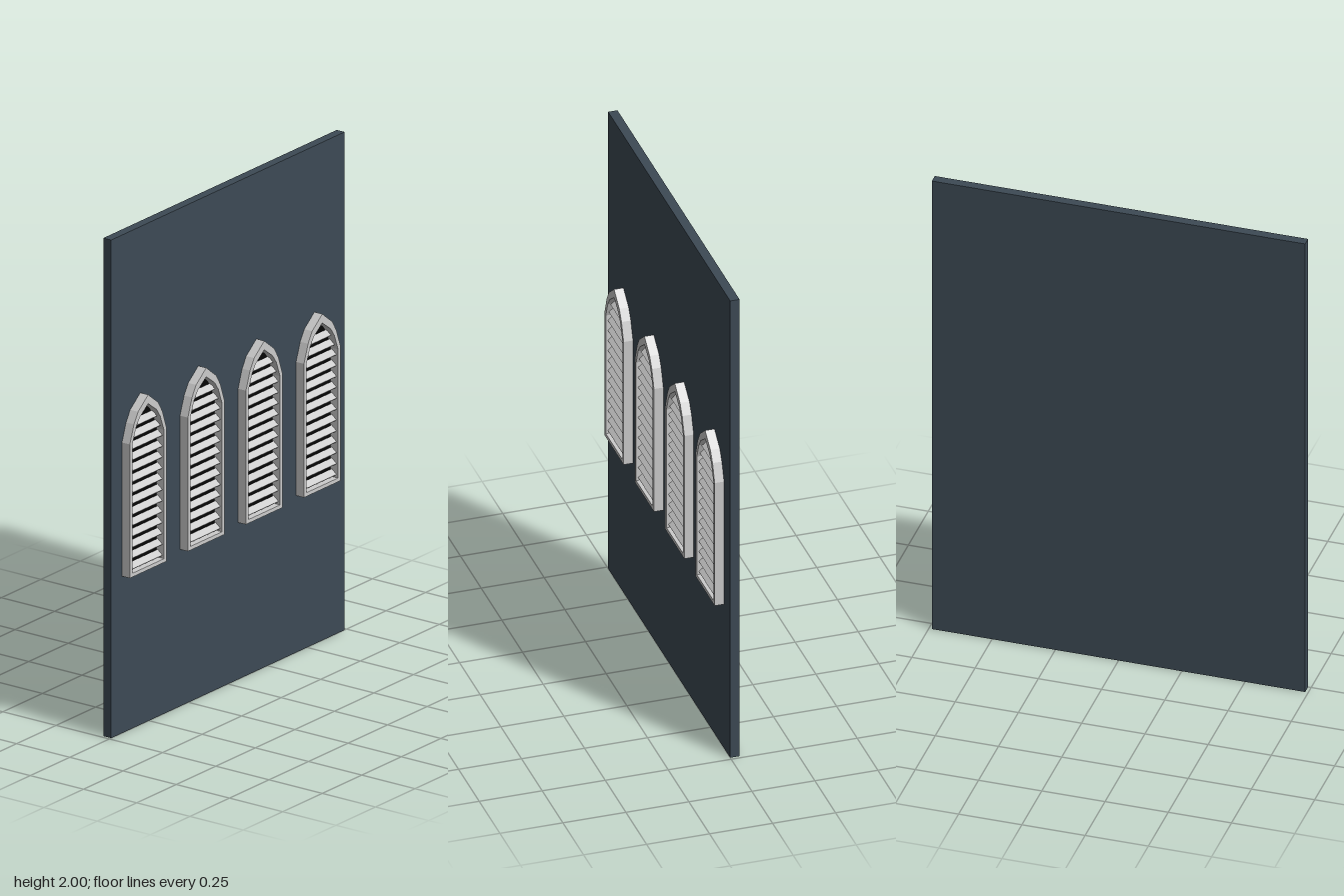
import * as THREE from 'three';

// Half profile of the pointed arch: [half width, height]
const OUTER = [[0.116, 0.63], [0.116, 1.167], [0.09, 1.24], [0.064, 1.283], [0, 1.333]];
const INNER = [[0.1, 0.645], [0.1, 1.162], [0.076, 1.225], [0.053, 1.258], [0, 1.297]];

function outline(half, Type) {
  const mirrored = half.slice(0, -1).reverse().map(([x, y]) => [-x, y]);
  return new Type([...half, ...mirrored].map(([x, y]) => new THREE.Vector2(x, y)));
}

// Half width of the opening at a given height
function openingAt(y) {
  for (let i = 1; i < INNER.length; i++) {
    const [x0, y0] = INNER[i - 1], [x1, y1] = INNER[i];
    if (y <= y1) return x0 + (x1 - x0) * (y - y0) / (y1 - y0);
  }
  return 0;
}

export function createModel() {
  const model = new THREE.Group();
  const wallMat = new THREE.MeshStandardMaterial({ color: 0x3d4a55 });
  const grey = new THREE.MeshStandardMaterial({ color: 0xcccccc });
  const dark = new THREE.MeshStandardMaterial({ color: 0x050505 });

  const add = (parent, name, geometry, material, x = 0, y = 0, z = 0) => {
    const mesh = new THREE.Mesh(geometry, material);
    mesh.name = name;
    mesh.position.set(x, y, z);
    parent.add(mesh);
    return mesh;
  };

  // Wall slab
  add(model, 'wall', new THREE.BoxGeometry(1.476, 2, 0.037), wallMat, 0, 1, -0.0185);

  // Frame ring and the dark pane behind the slats
  const ring = outline(OUTER, THREE.Shape);
  ring.holes.push(outline(INNER, THREE.Path));
  const frameGeo = new THREE.ExtrudeGeometry(ring, { depth: 0.037, bevelEnabled: false });
  const paneGeo = new THREE.ShapeGeometry(outline(INNER, THREE.Shape));

  for (let w = 0; w < 4; w++) {
    const louver = new THREE.Group();
    louver.name = 'louverWindow' + (w + 1);
    louver.position.x = -0.554 + w * 0.367;
    add(louver, 'frame', frameGeo, grey);
    add(louver, 'pane', paneGeo, dark, 0, 0, 0.002);

    // Slats slope down toward the front and narrow under the arch
    for (let i = 0; i < 14; i++) {
      const y = 0.665 + i * 0.0438;
      const width = 2 * openingAt(y + 0.005);
      const slat = add(louver, 'slat', new THREE.BoxGeometry(width, 0.005, 0.029), grey, 0, y, 0.0165);
      slat.rotation.x = 0.68;
    }
    model.add(louver);
  }
  return model;
}
